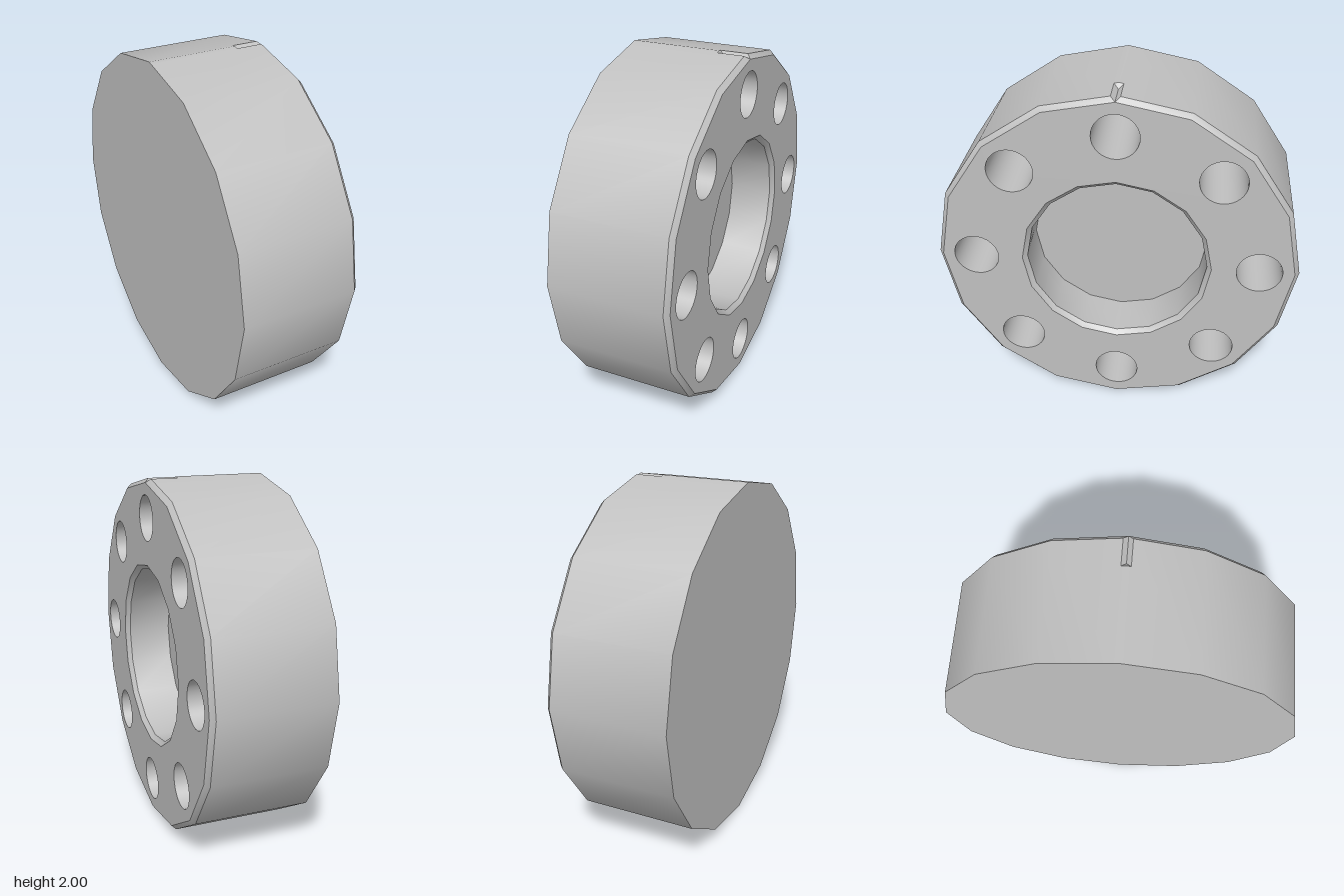
import * as THREE from 'three';
import { toCreasedNormals } from 'three/addons/utils/BufferGeometryUtils.js';

const BACK = -0.335, FRONT = 0.335, BEVEL = 0.31;
const R = 1, SIDES = 16;
const HOLE_R = 0.125, HOLE_RING = 0.785, HOLE_FLOOR = -0.18;
const BORE_R = 0.5, BORE_FLOOR = 0.06;
const NOTCH = 0.025, NOTCH_X = 0.16;

// closed ring of [y, z] points about the x axis, starting at the top
function ring(r, n = SIDES, cy = 0, cz = 0) {
  return Array.from({ length: n + 1 }, (_, i) => {
    const a = (i % n) / n * Math.PI * 2;
    return [cy + r * Math.cos(a), cz + r * Math.sin(a)];
  });
}

// triangles joining two rings; going towards +x faces outwards, towards -x inwards
function strip(out, xa, a, xb, b) {
  for (let i = 0; i < a.length - 1; i++) {
    const p = [xa, ...a[i]], q = [xa, ...a[i + 1]], s = [xb, ...b[i]], t = [xb, ...b[i + 1]];
    out.push(p, q, s, q, t, s);
  }
}

function surface(points) {
  const g = new THREE.BufferGeometry();
  g.setAttribute('position', new THREE.Float32BufferAttribute(points.flat(), 3));
  g.computeVertexNormals();
  return toCreasedNormals(g, Math.PI / 6);
}

export function createModel() {
  const model = new THREE.Group();
  const body = new THREE.Group();
  body.position.y = 1;
  model.add(body);
  const grey = new THREE.MeshStandardMaterial({ color: 0xc0c0c0 });
  grey.name = 'grey metal';
  const add = (name, geometry) => {
    const mesh = new THREE.Mesh(geometry, grey);
    mesh.name = name;
    body.add(mesh);
  };

  // outer wall and bevel, open along the top where the notch runs
  const lip = R - NOTCH * Math.tan(Math.PI / SIDES);
  const open = ring(R);
  open[0] = [lip, NOTCH];
  open[SIDES] = [lip, -NOTCH];
  const wall = [];
  strip(wall, BACK, open, BEVEL, open);
  strip(wall, BEVEL, open, FRONT, ring(R - 0.025));
  const ridge = [[lip, -NOTCH], [R, 0], [lip, NOTCH]];
  strip(wall, BACK, ridge, NOTCH_X, ridge);
  add('outerWall', surface(wall));

  // V-shaped alignment notch
  const low = R - 0.025;
  const L = [NOTCH_X, lip, -NOTCH], N = [NOTCH_X, lip, NOTCH], T = [NOTCH_X, R, 0];
  const L1 = [BEVEL, lip, -NOTCH], N1 = [BEVEL, lip, NOTCH];
  const B0 = [NOTCH_X + 0.025, low, 0], B1 = [FRONT, low, 0];
  add('notch', surface([
    N, N1, B0, N1, B1, B0,
    L, B0, L1, L1, B0, B1,
    L, T, B0, T, N, B0,
  ]));

  // front face with bore and bolt hole openings
  const outline = (pts) => pts.slice(0, -1).map(([y, z]) => new THREE.Vector2(-z, y));
  const face = new THREE.Shape(outline(ring(R - 0.025)));
  face.holes.push(new THREE.Path(outline(ring(BORE_R + 0.025))));
  const bolts = [];
  for (let i = 0; i < 8; i++) {
    const a = i * Math.PI / 4;
    bolts.push([HOLE_RING * Math.cos(a), HOLE_RING * Math.sin(a)]);
  }
  for (const [y, z] of bolts) face.holes.push(new THREE.Path(outline(ring(HOLE_R, 32, y, z))));
  add('frontFace', new THREE.ShapeGeometry(face).rotateY(Math.PI / 2).translate(FRONT, 0, 0));

  // solid back
  add('backFace', new THREE.CircleGeometry(R, SIDES).rotateY(-Math.PI / 2).translate(BACK, 0, 0));

  // central bore with bevelled rim
  const bore = [];
  strip(bore, FRONT, ring(BORE_R + 0.025), BEVEL, ring(BORE_R));
  strip(bore, BEVEL, ring(BORE_R), BORE_FLOOR, ring(BORE_R));
  add('boreWall', surface(bore));
  add('boreFloor', new THREE.CircleGeometry(BORE_R, SIDES).rotateY(Math.PI / 2).translate(BORE_FLOOR, 0, 0));

  // blind bolt holes
  for (const [y, z] of bolts) {
    const hole = [], rim = ring(HOLE_R, 32, y, z);
    strip(hole, FRONT, rim, HOLE_FLOOR, rim);
    add('boltHoleWall', surface(hole));
    add('boltHoleFloor', new THREE.CircleGeometry(HOLE_R, 32).rotateY(Math.PI / 2).translate(HOLE_FLOOR, y, z));
  }
  return model;
}
